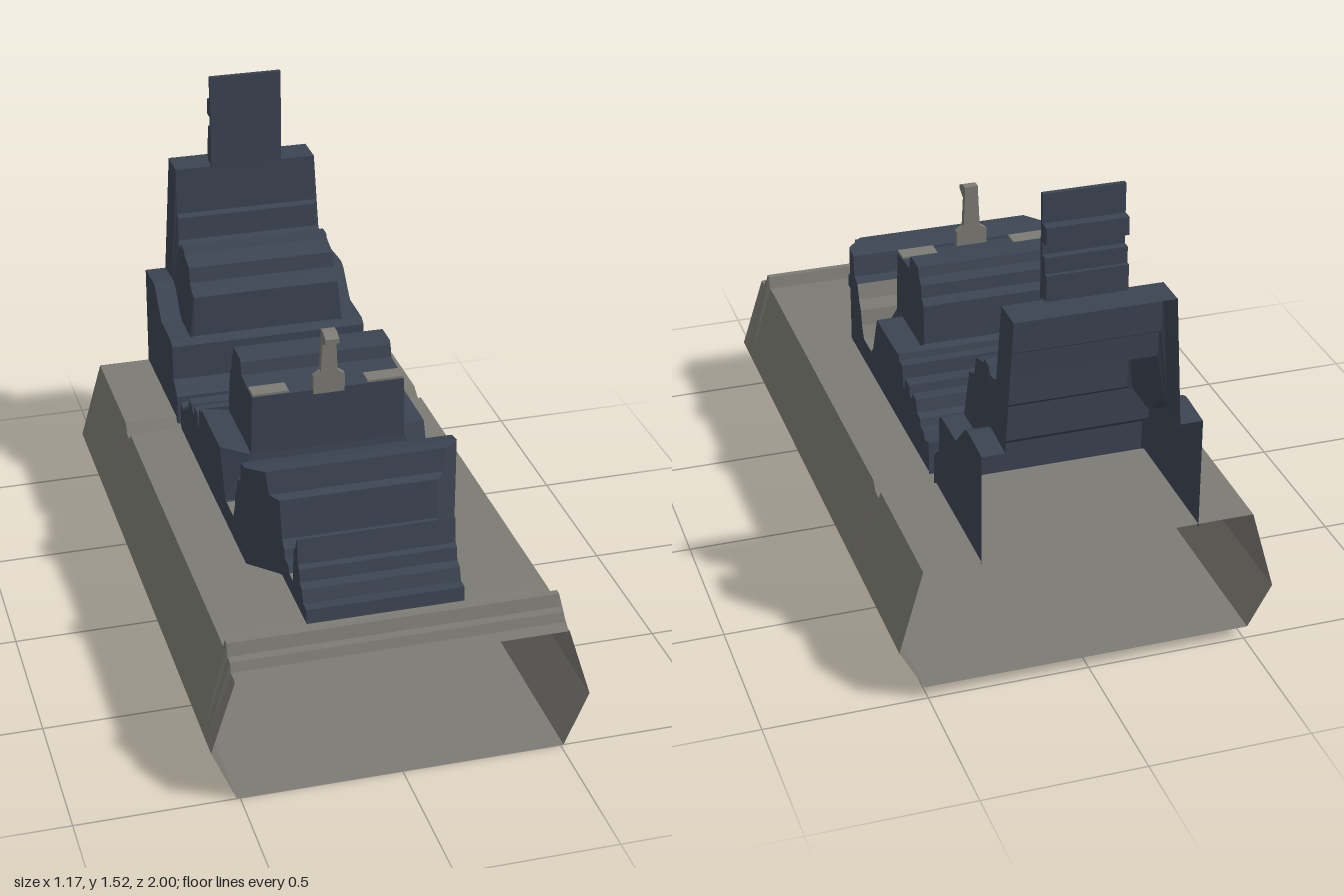
import * as THREE from 'three';

const hullGrey = new THREE.MeshStandardMaterial({ color: 0x7c7b74, side: THREE.DoubleSide });
hullGrey.name = 'hull grey';
const slate = new THREE.MeshStandardMaterial({ color: 0x3c4452, side: THREE.DoubleSide });
slate.name = 'slate blue';

// Joins mirrored cross-sections front to back into a flat-faced shell.
// rows: { z, half: [[x, y], ...] from bottom to top, greyRoof }
function loft(name, rows, material, closed = false) {
  const main = [], roof = [];
  const rings = rows.map(({ z, half }) =>
    [...half, ...half.slice().reverse().map(([x, y]) => [-x, y])].map(([x, y]) => new THREE.Vector3(x, y, z)));
  const n = rings[0].length;
  for (let i = 0; i < rings.length - 1; i++) {
    for (let j = 0; j < (closed ? n : n - 1); j++) {
      const k = (j + 1) % n;
      const [a, b, c, d] = [rings[i][j], rings[i + 1][j], rings[i + 1][k], rings[i][k]];
      const out = rows[i].greyRoof && j === n / 2 - 1 ? roof : main;
      for (const t of [[a, b, c], [a, c, d]]) {
        const area = new THREE.Triangle(...t).getArea();
        if (area > 1e-7) t.forEach(v => out.push(v.x, v.y, v.z));
      }
    }
  }
  const group = new THREE.Group();
  group.name = name;
  const add = (label, pos, mat) => {
    if (!pos.length) return;
    const g = new THREE.BufferGeometry();
    g.setAttribute('position', new THREE.Float32BufferAttribute(pos, 3));
    g.computeVertexNormals();
    const m = new THREE.Mesh(g, mat);
    m.name = label;
    group.add(m);
  };
  add(name + 'Shell', main, material);
  add(name + 'GreyRoof', roof, hullGrey);
  return group;
}

// One superstructure section: lower walls up to a ledge, then an upper tier
const BASE = 0.43;
const single = w => ([z, y, greyRoof]) =>
  ({ z, greyRoof, half: [[w, BASE], [w, y], [w, y], [w, y]] });
const tiered = (W, wBottom, wTop) => ([z, y, ledge]) =>
  ({ z, half: [[W, BASE], [W, ledge], [wBottom, ledge], [wTop, y]] });

function box(name, x, y0, y1, z0, z1, material) {
  const m = new THREE.Mesh(new THREE.BoxGeometry(2 * x, y1 - y0, z1 - z0), material);
  m.position.set(0, (y0 + y1) / 2, (z0 + z1) / 2);
  m.name = name;
  return m;
}

export function createModel() {
  const model = new THREE.Group();
  model.name = 'shipSection';

  // Hull tube, open at both ends: z, deck height, keel height
  const hullRows = [
    [1, 0.41, 0], [0.95, 0.41, 0], [0.94, 0.44, 0], [0.91, 0.44, 0], [0.9, 0.48, 0],
    [0.88, 0.48, 0], [0.87, 0.44, 0], [0.8, 0.445, 0], [-0.09, 0.44, 0], [-0.19, 0.44, 0.04],
    [-0.47, 0.44, 0.04], [-0.49, 0.41, 0.04], [-0.53, 0.41, 0.04], [-0.55, 0.445, 0.04], [-1, 0.44, 0.04],
  ].map(([z, deck, keel]) => ({ z, half: [[0.51, keel], [0.585, 0.175], [0.51, deck]] }));
  model.add(loft('hull', hullRows, hullGrey, true));

  // Stepped forward deckhouse, then the bridge block and the aft steps
  const forward = [
    [0.81, BASE], [0.805, 0.49], [0.77, 0.49], [0.755, 0.53], [0.73, 0.54], [0.722, 0.58], [0.71, 0.59],
    [0.7, 0.67], [0.69, 0.66], [0.68, 0.63], [0.66, 0.61], [0.65, 0.5, true], [0.61, 0.5],
    [0.6, 0.52], [0.56, 0.52], [0.55, 0.55], [0.525, 0.57],
  ].map(single(0.245));
  const widening = [
    [0.515, 0.7, 0.25], [0.49, 0.71, 0.275], [0.48, 0.785, 0.285], [0.43, 0.78, 0.335],
  ].map(([z, y, w]) => single(w)([z, y]));
  const well = [
    [0.38, 0.77], [0.37, 0.7], [0.335, 0.69, true], [0.32, 0.64, true], [0.3, 0.61, true],
    [0.29, 0.56, true], [0.27, 0.52, true], [0.18, 0.52],
  ].map(single(0.335));
  const bridgeFront = [
    { z: 0.18, half: [[0.335, BASE], [0.335, 0.52], [0.25, 0.52], [0.25, 0.52]] },
    { z: 0.165, half: [[0.335, BASE], [0.335, 0.52], [0.25, 0.67], [0.245, 0.67]] },
    { z: 0.165, half: [[0.335, BASE], [0.335, 0.52], [0.25, 0.67], [0.245, 0.87]] },
  ];
  const bridge = [
    [0.1, 0.875, 0.675], [0.03, 0.88, 0.675], [0.02, 0.92, 0.675], [0.01, 0.93, 0.675],
    [-0.07, 0.93, 0.675], [-0.08, 0.9, 0.675], [-0.1, 0.88, 0.675], [-0.105, 0.84, 0.675],
    [-0.125, 0.82, 0.675], [-0.13, 0.69, 0.675],
  ].map(tiered(0.335, 0.25, 0.245));
  const aftSteps = [
    [-0.15, 0.68], [-0.155, 0.66], [-0.19, 0.66], [-0.195, 0.59], [-0.21, 0.59], [-0.22, 0.63],
    [-0.265, 0.63], [-0.27, 0.6], [-0.295, 0.6], [-0.3, 0.62], [-0.34, 0.62], [-0.35, 0.58],
    [-0.38, 0.575], [-0.39, 0.55], [-0.42, 0.55], [-0.43, 0.53], [-0.47, 0.54], [-0.475, BASE],
  ].map(single(0.335));
  model.add(loft('forwardSuperstructure',
    [...forward, ...widening, ...well, ...bridgeFront, ...bridge, ...aftSteps], slate));

  // Pale patches at the front corners of the bridge roof
  for (const s of [-1, 1]) {
    const patch = box('bridgeRoofPatch', 0.058, 0.873, 0.88, 0.11, 0.166, hullGrey);
    patch.position.x = s * 0.185;
    model.add(patch);
  }

  // Bridge mast with a hooked head
  const outline = new THREE.Shape([
    [-0.05, 0.86], [0.05, 0.86], [0.05, 0.92], [0.027, 0.935], [0.022, 1.04], [-0.022, 1.04],
    [-0.027, 0.935], [-0.05, 0.92],
  ].map(p => new THREE.Vector2(...p)));
  const mast = new THREE.Mesh(
    new THREE.ExtrudeGeometry(outline, { depth: 0.022, bevelEnabled: false }), hullGrey);
  mast.position.z = 0.153;
  mast.name = 'mast';
  const headSide = new THREE.Shape([
    [0.153, 1.03], [0.18, 1.03], [0.21, 1.045], [0.21, 1.06], [0.18, 1.073], [0.153, 1.073],
  ].map(([z, y]) => new THREE.Vector2(-z, y)));
  const head = new THREE.Mesh(
    new THREE.ExtrudeGeometry(headSide, { depth: 0.044, bevelEnabled: false }), hullGrey);
  head.rotation.y = Math.PI / 2;
  head.position.x = -0.022;
  head.name = 'mastHead';
  model.add(mast, head);

  // Tall aft tower, open at the back
  const towerFoot = [
    [-0.525, BASE], [-0.528, 0.53], [-0.54, 0.54], [-0.56, 0.56], [-0.58, 0.57], [-0.585, 0.69],
  ].map(single(0.335));
  const tower = [
    [-0.61, 0.71, 0.705], [-0.615, 0.85, 0.705], [-0.65, 0.86, 0.705], [-0.67, 0.88, 0.705],
    [-0.68, 0.93, 0.705], [-0.75, 0.95, 0.705], [-0.76, 0.965, 0.71], [-0.8, 0.965, 0.75],
    [-0.81, 0.945, 0.76], [-0.84, 0.945, 0.79],
  ].map(tiered(0.335, 0.265, 0.25));
  const towerTop = [
    [-0.865, 0.95, 0.8], [-0.87, 1.03, 0.8], [-0.885, 1.04, 0.8], [-0.89, 1.2, 0.8], [-1, 1.2, 0.79],
  ].map(tiered(0.335, 0.265, 0.242));
  model.add(loft('aftTower', [...towerFoot, ...tower, ...towerTop], slate));

  // Upright panel with ribs on its back
  const panel = new THREE.Group();
  panel.name = 'towerPanel';
  panel.add(
    box('panelPlate', 0.122, 1.2, 1.525, -0.888, -0.873, slate),
    box('panelUpperRib', 0.122, 1.38, 1.435, -0.92, -0.885, slate),
    box('panelMiddleRib', 0.122, 1.29, 1.34, -0.912, -0.885, slate),
    box('panelLowerRib', 0.122, 1.21, 1.29, -0.925, -0.885, slate));
  model.add(panel);

  return model;
}
